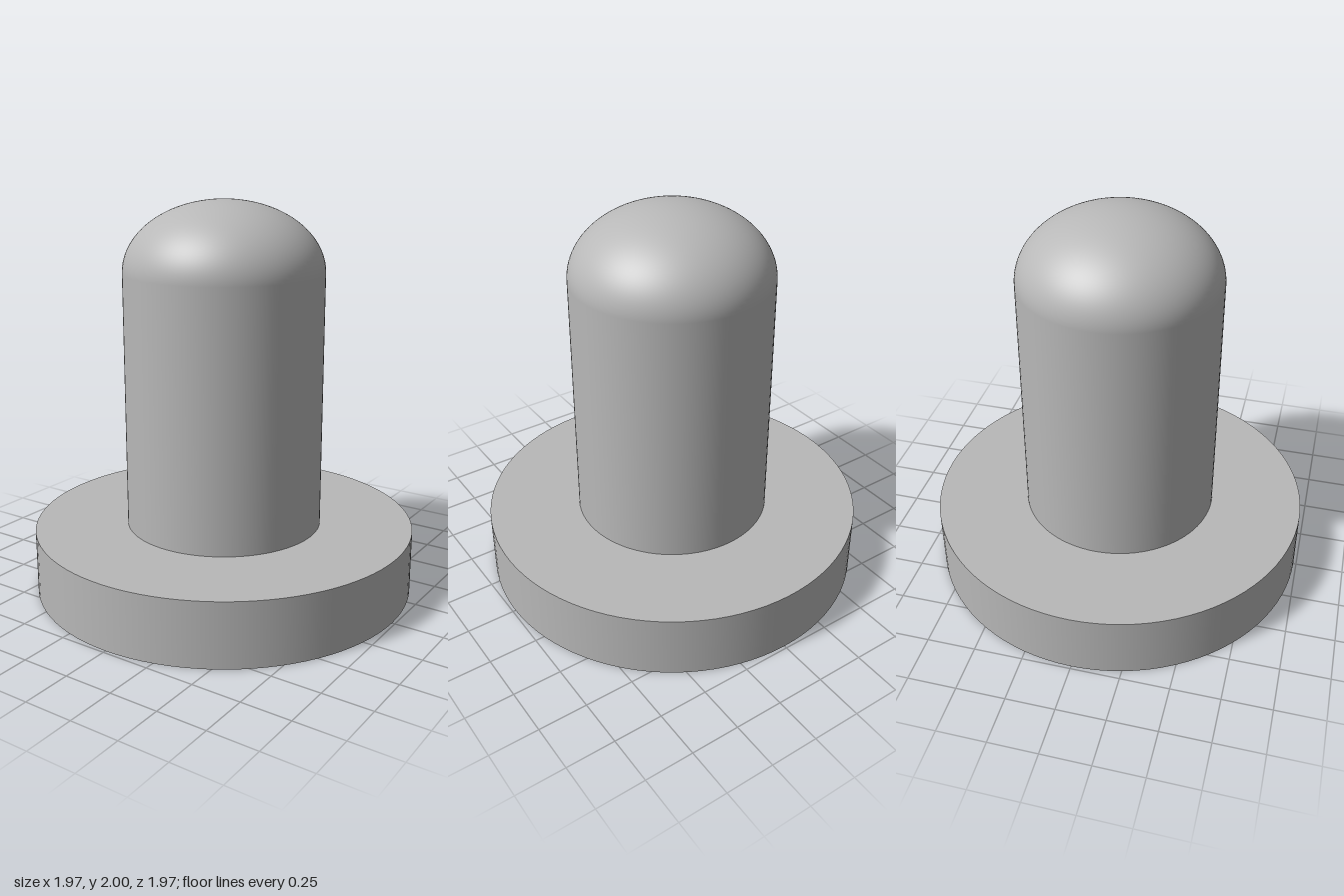
import * as THREE from 'three';

const SEGMENTS = 96;
const BASE_RADIUS = 0.985, BASE_TOP = 0.33;
const STEM_RADIUS = 0.507, STEM_TOP = 1.64, TOP = 2;

export function createModel() {
  const model = new THREE.Group();
  model.name = 'domedPin';
  const grey = new THREE.MeshStandardMaterial({ color: 0xb8b8b8 });
  grey.name = 'grey';

  const add = (name, geometry, y) => {
    const mesh = new THREE.Mesh(geometry, grey);
    mesh.name = name;
    mesh.position.y = y;
    model.add(mesh);
    return mesh;
  };

  // Wide flat disc
  add('base', new THREE.CylinderGeometry(BASE_RADIUS, BASE_RADIUS, BASE_TOP, SEGMENTS), BASE_TOP / 2);

  // Straight round post
  const stemHeight = STEM_TOP - BASE_TOP;
  add('stem', new THREE.CylinderGeometry(STEM_RADIUS, STEM_RADIUS, stemHeight, SEGMENTS, 1, true),
    BASE_TOP + stemHeight / 2);

  // Flattened half-sphere closing the post
  const dome = new THREE.SphereGeometry(STEM_RADIUS, SEGMENTS, 32, 0, Math.PI * 2, 0, Math.PI / 2);
  dome.scale(1, (TOP - STEM_TOP) / STEM_RADIUS, 1);
  add('dome', dome, STEM_TOP);

  return model;
}
